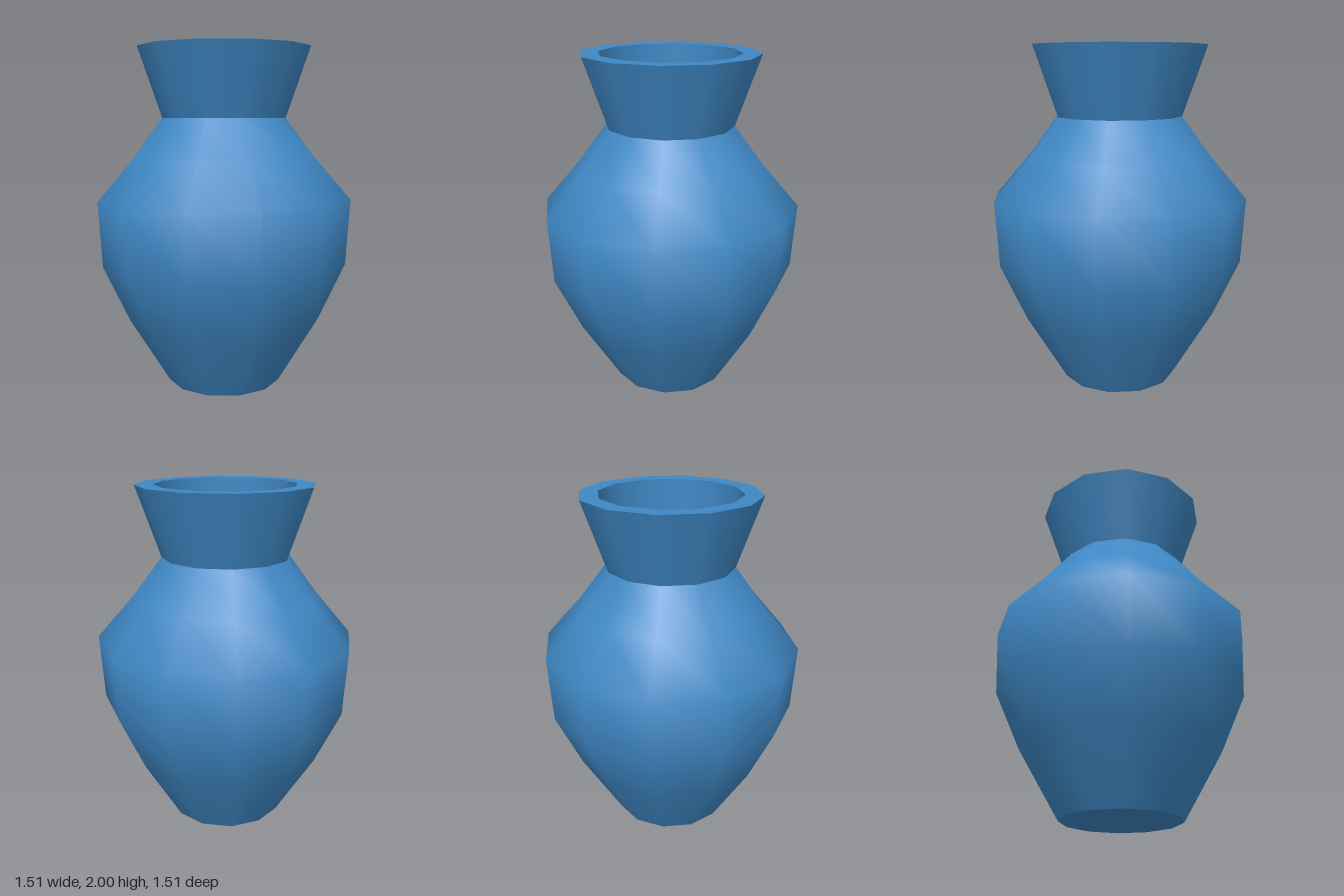
import * as THREE from 'three';

const SIDES = 12;
const glaze = new THREE.MeshStandardMaterial({ color: 0x3f88c5 });
glaze.name = 'blue glaze';

// Each section is its own lathe, so edges between sections stay sharp.
function turned(name, profile) {
  const points = profile.map(([r, y]) => new THREE.Vector2(r, y));
  const mesh = new THREE.Mesh(new THREE.LatheGeometry(points, SIDES), glaze);
  mesh.name = name;
  return mesh;
}

export function createModel() {
  const vase = new THREE.Group();
  vase.name = 'vase';

  // Smooth belly, widest just above the middle
  const body = turned('body', [
    [0.345, 0], [0.58, 0.4], [0.733, 0.74], [0.754, 1.122], [0.535, 1.375], [0.37, 1.595],
  ]);
  // Slight hand-made tilt, fading out at the base and neck
  const pos = body.geometry.attributes.position;
  for (let i = 0; i < pos.count; i++) {
    const y = pos.getY(i);
    const fade = Math.max(0, Math.sin((y / 1.595) * Math.PI));
    pos.setY(i, y + 0.011 * fade * (pos.getX(i) - pos.getZ(i)));
  }

  vase.add(
    body,
    turned('base', [[0, 0], [0.345, 0]]),
    turned('neck', [[0.37, 1.595], [0.51, 2]]),
    turned('rim', [[0.51, 2], [0.405, 2]]),
    // Shallow recess in the mouth
    turned('mouthWall', [[0.405, 2], [0.405, 1.79]]),
    turned('mouthFloor', [[0.405, 1.79], [0, 1.79]]),
  );
  return vase;
}
